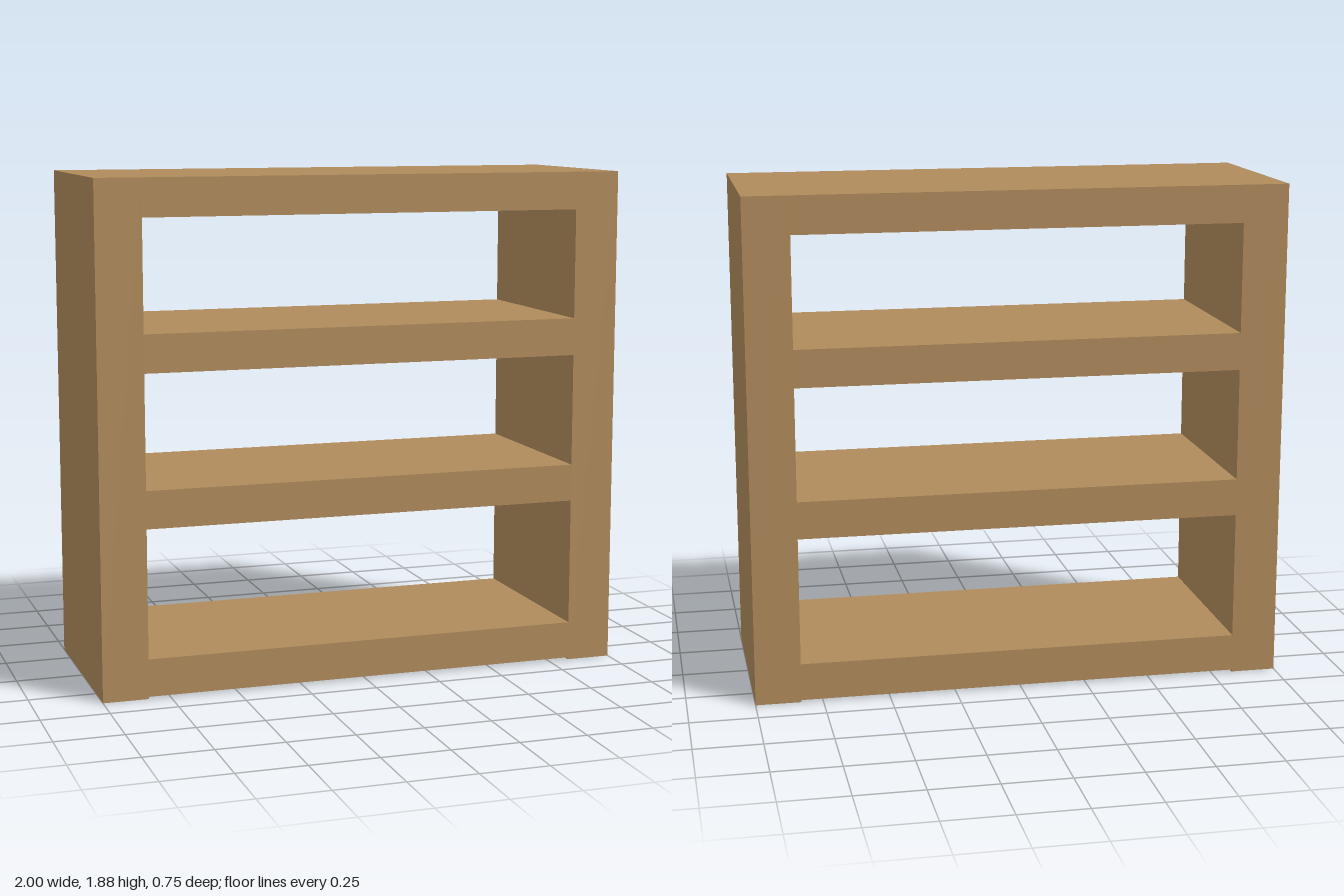
import * as THREE from 'three';

const DEPTH = 0.75;
const HEIGHT = 1.88;
const SIDE_WIDTH = 0.17;
const BOARD_THICKNESS = 0.14;

export function createModel() {
  const group = new THREE.Group();
  group.name = 'bookshelf';

  const wood = new THREE.MeshStandardMaterial({ color: 0xb08b5c });
  wood.name = 'wood';

  const addBoard = (name, width, height, x, y) => {
    const board = new THREE.Mesh(new THREE.BoxGeometry(width, height, DEPTH), wood);
    board.name = name;
    board.position.set(x, y, 0);
    group.add(board);
  };

  // Upright side panels
  for (const [name, side] of [['leftSide', 1], ['rightSide', -1]]) {
    addBoard(name, SIDE_WIDTH, HEIGHT, side * (1 - SIDE_WIDTH / 2), HEIGHT / 2);
  }

  // Horizontal boards between the sides; the lowest sits just off the floor
  const boards = { bottomBoard: 0.008, lowerShelf: 0.628, upperShelf: 1.19, topBoard: 1.74 };
  for (const [name, underside] of Object.entries(boards)) {
    addBoard(name, 2 - 2 * SIDE_WIDTH, BOARD_THICKNESS, 0, underside + BOARD_THICKNESS / 2);
  }

  return group;
}
